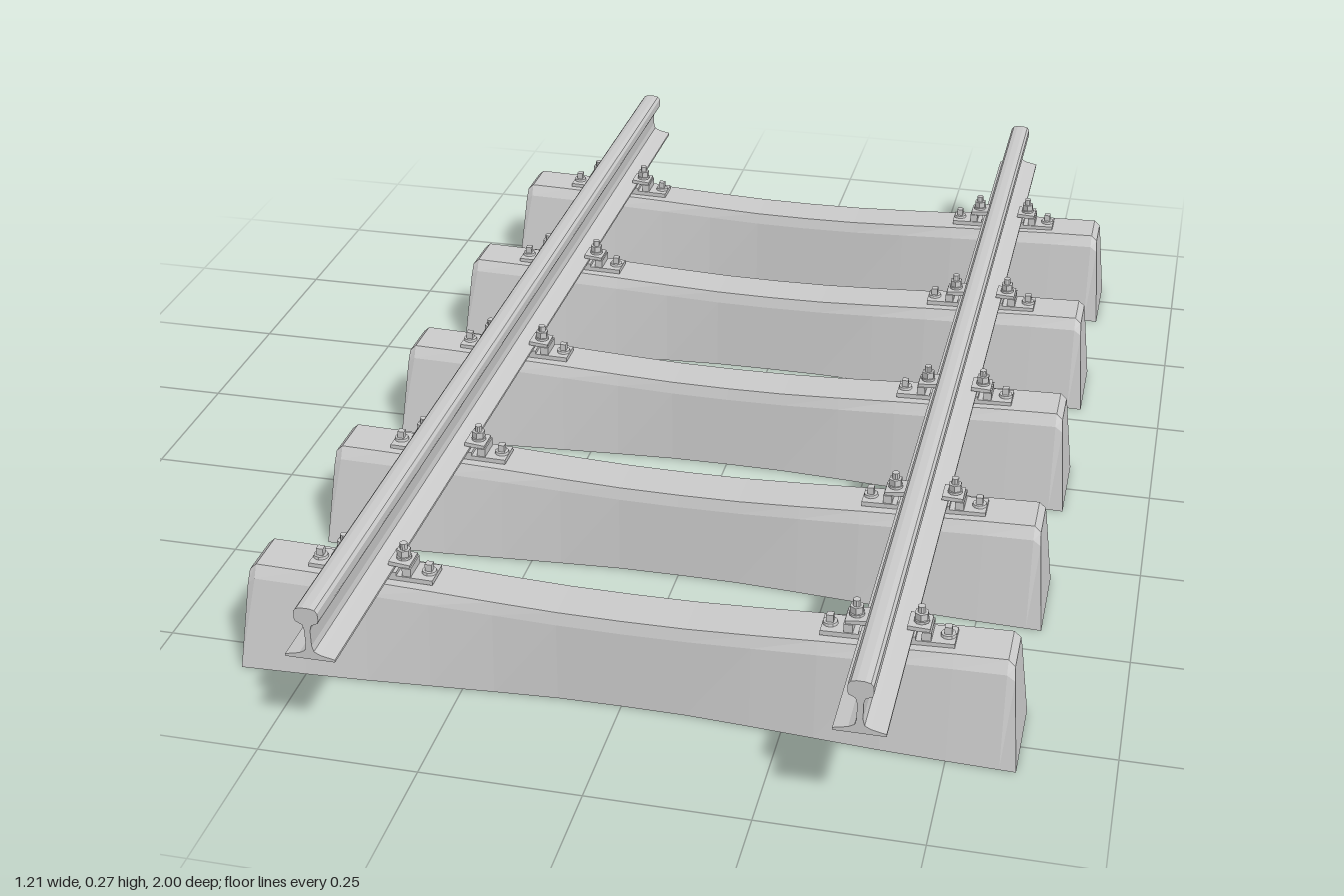
import * as THREE from 'three';

const material = new THREE.MeshStandardMaterial({ color: 0xcccccc, flatShading: true });

function add(parent, name, geometry, x = 0, y = 0, z = 0) {
  const mesh = new THREE.Mesh(geometry, material);
  mesh.name = name;
  mesh.position.set(x, y, z);
  parent.add(mesh);
  return mesh;
}

// Skin over equal-sized rings of points, with fan caps at both ends
function loft(rings) {
  const n = rings[0].length, index = [];
  for (let i = 0; i < rings.length - 1; i++) {
    for (let j = 0; j < n; j++) {
      const k = (j + 1) % n, a = i * n + j, b = i * n + k;
      index.push(a, b, a + n, b, b + n, a + n);
    }
  }
  const last = (rings.length - 1) * n;
  for (let j = 1; j < n - 1; j++) {
    index.push(0, j + 1, j, last, last + j, last + j + 1);
  }
  const g = new THREE.BufferGeometry();
  g.setAttribute('position', new THREE.Float32BufferAttribute(rings.flat(2), 3));
  g.setIndex(index);
  const flat = g.toNonIndexed();
  flat.computeVertexNormals();
  return flat;
}

// Concrete sleeper: waisted in plan, dished on top, sloping ends
function sleeperGeometry() {
  // x, top height, half widths at bottom, shoulder and top
  const half = [
    [0, 0.15, 0.047, 0.042, 0.037],
    [0.1, 0.151, 0.048, 0.042, 0.037],
    [0.2, 0.155, 0.054, 0.043, 0.037],
    [0.3, 0.16, 0.061, 0.045, 0.037],
    [0.4, 0.164, 0.068, 0.046, 0.037],
    [0.5, 0.168, 0.073, 0.047, 0.037],
    [0.58, 0.17, 0.076, 0.048, 0.037],
    [0.605, 0.16, 0.077, 0.047, 0.038],
  ];
  const mirrored = half.slice(1).reverse().map(([x, ...r]) => [-x, ...r]);
  return loft([...mirrored, ...half].map(([x, top, b, s, t]) => {
    const end = Math.abs(x) > 0.6;
    const pts = [[-b, 0], [-s, top - 0.02], [-t, top], [t, top], [s, top - 0.02], [b, 0]];
    return pts.map(([z, y]) => [end ? x - Math.sign(x) * y * 0.09 : x, y, z]);
  }));
}

// Flat-bottomed rail section: foot, thin web, rounded head
function railGeometry() {
  const side = [
    [0.038, 0], [0.038, 0.004], [0.016, 0.009], [0.007, 0.014], [0.0045, 0.024],
    [0.0045, 0.05], [0.007, 0.059], [0.017, 0.064], [0.0185, 0.069], [0.018, 0.081],
    [0.014, 0.086], [0.006, 0.088],
  ];
  const outline = [...side, ...side.map(([x, y]) => [-x, y]).reverse()];
  const shape = new THREE.Shape(outline.map(([x, y]) => new THREE.Vector2(x, y)));
  return new THREE.ExtrudeGeometry(shape, { depth: 2, bevelEnabled: false }).translate(0, 0, -1);
}

const plate = new THREE.BoxGeometry(0.2, 0.008, 0.046);
const pad = new THREE.BoxGeometry(0.084, 0.006, 0.046);
const lug = new THREE.BoxGeometry(0.014, 0.014, 0.042);
const clip = new THREE.BoxGeometry(0.034, 0.007, 0.038);
const washer = new THREE.CylinderGeometry(0.012, 0.012, 0.004, 12);
const nut = new THREE.CylinderGeometry(0.011, 0.011, 0.011, 6);
const stud = new THREE.CylinderGeometry(0.006, 0.006, 0.034, 10);
const screwFlange = new THREE.CylinderGeometry(0.011, 0.012, 0.005, 12);
const screwHead = new THREE.BoxGeometry(0.011, 0.013, 0.011);

// Canted base plate with two clamped clips and two outer screws
function createFastening() {
  const g = new THREE.Group();
  g.name = 'railFastening';
  add(g, 'basePlate', plate, 0, 0.168);
  add(g, 'railPad', pad, 0, 0.175);
  for (const s of [-1, 1]) {
    add(g, 'plateLug', lug, s * 0.058, 0.179);
    add(g, 'clip', clip, s * 0.046, 0.189).rotation.z = -s * 0.08;
    add(g, 'clipWasher', washer, s * 0.048, 0.195);
    add(g, 'clipNut', nut, s * 0.048, 0.203);
    add(g, 'clipStud', stud, s * 0.048, 0.202);
    add(g, 'screwFlange', screwFlange, s * 0.088, 0.174);
    add(g, 'screwHead', screwHead, s * 0.088, 0.182);
  }
  // lean the assembly towards the middle of the track
  g.rotation.z = 0.025;
  return g;
}

export function createModel() {
  const model = new THREE.Group();
  model.name = 'railwayTrack';
  const sleeper = sleeperGeometry();
  const rail = railGeometry();

  for (let i = -2; i <= 2; i++) {
    const bay = new THREE.Group();
    bay.name = 'sleeperAssembly';
    bay.position.z = i * 0.3675;
    add(bay, 'sleeper', sleeper);
    for (const s of [-1, 1]) {
      const seat = new THREE.Group();
      seat.name = s > 0 ? 'leftRailSeat' : 'rightRailSeat';
      seat.position.x = s * 0.4;
      seat.rotation.y = s > 0 ? 0 : Math.PI;
      const fastening = createFastening();
      fastening.position.x = 0.004;
      seat.add(fastening);
      bay.add(seat);
    }
    model.add(bay);
  }

  add(model, 'leftRail', rail, 0.4, 0.179);
  add(model, 'rightRail', rail, -0.4, 0.179);
  return model;
}
